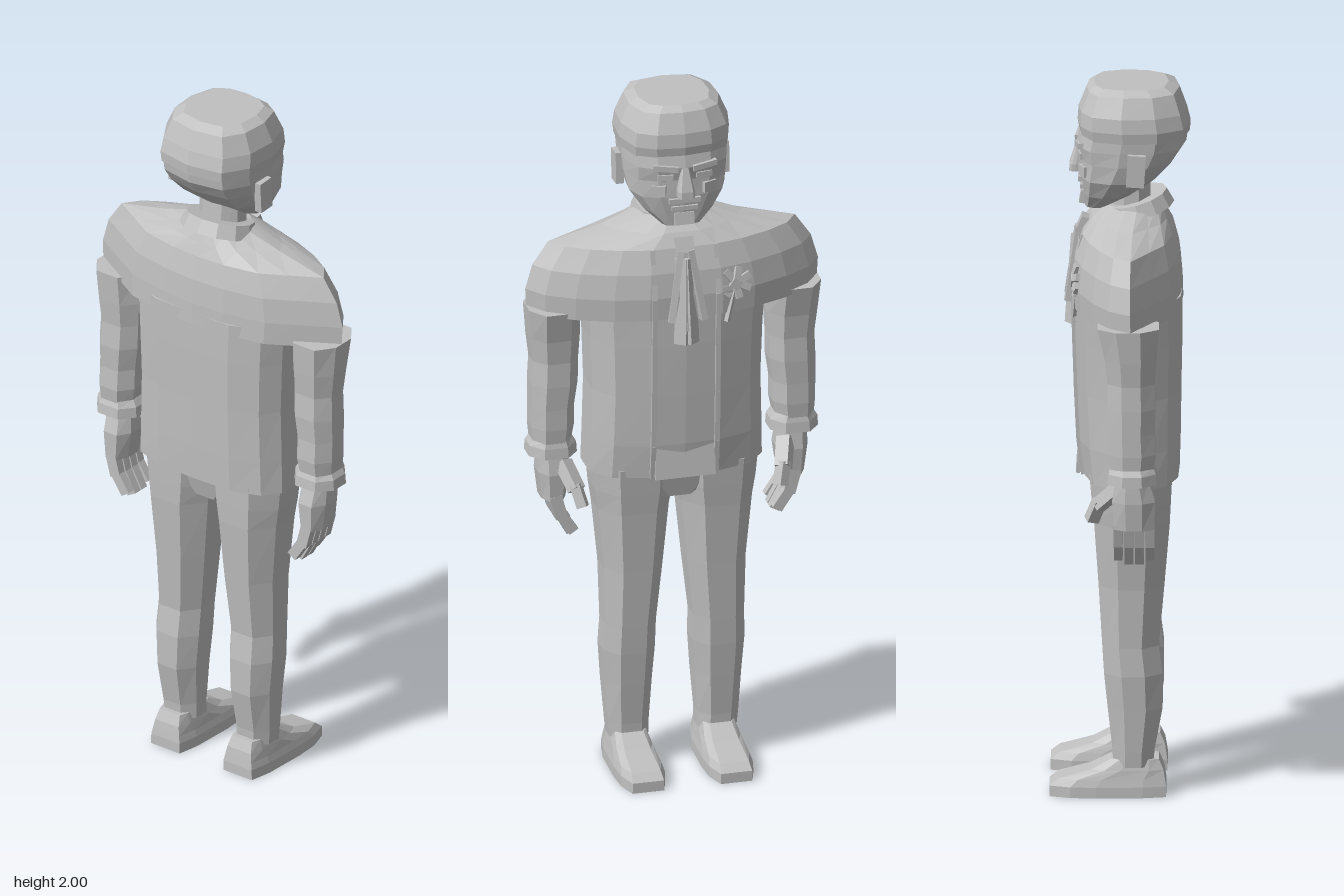
import * as THREE from 'three';

const clothGrey = new THREE.MeshStandardMaterial({ color: 0xc0c0c0, flatShading: true });
clothGrey.name = 'plainGrey';

// Half outlines seen from above: [share of half width, share of depth], back to front
const TORSO = [[0, 0], [0.5, 0.01], [0.85, 0.12], [1, 0.3], [1, 0.65], [0.8, 0.88], [0.4, 0.98], [0, 1]];
const YOKE = [[0, 0], [0.25, 0.02], [0.55, 0.1], [0.75, 0.26], [1, 0.46], [0.9, 0.65], [0.72, 0.8], [0.48, 0.93], [0.25, 1], [0, 1]];
const HEAD = [[0, 0], [0.68, 0.06], [0.96, 0.29], [1, 0.6], [0.84, 0.87], [0.5, 0.97], [0, 1]];
const LIMB = [[0, 0], [0.5, 0], [1, 0.3], [1, 0.7], [0.5, 1], [0, 1]];
const SHOE = [[0, 0], [0.75, 0], [0.93, 0.2], [1, 0.6], [0.95, 0.82], [0.68, 1], [0, 1]];

// Closed loft, bottom to top; each row is [y, halfWidth, zBack, zFront, centreX]
function loft(outline, rows, side = 1) {
  const rings = rows.map(([y, hx, zb, zf, cx = 0]) => {
    const at = (f, t) => [cx * side + f * hx, y, zb + t * (zf - zb)];
    const right = outline.map(([f, t]) => at(f, t));
    const left = outline.slice(1, -1).reverse().map(([f, t]) => at(-f, t));
    return [...right, ...left];
  });
  const n = rings[0].length, pos = [];
  const tri = (a, b, c) => pos.push(...a, ...b, ...c);
  const middle = (r) => [0, 1, 2].map((k) => r.reduce((s, p) => s + p[k], 0) / n);
  const low = rings[0], high = rings[rings.length - 1];
  for (let j = 0; j < n; j++) {
    const k = (j + 1) % n;
    for (let i = 0; i < rings.length - 1; i++) {
      tri(rings[i][j], rings[i][k], rings[i + 1][k]);
      tri(rings[i][j], rings[i + 1][k], rings[i + 1][j]);
    }
    tri(middle(low), low[k], low[j]);
    tri(middle(high), high[j], high[k]);
  }
  const g = new THREE.BufferGeometry();
  g.setAttribute('position', new THREE.Float32BufferAttribute(pos, 3));
  g.computeVertexNormals();
  return g;
}

function add(parent, name, geometry, position = [0, 0, 0], rotation = [0, 0, 0]) {
  const mesh = new THREE.Mesh(geometry, clothGrey);
  mesh.name = name;
  mesh.position.set(...position);
  mesh.rotation.set(...rotation);
  parent.add(mesh);
  return mesh;
}

const box = (w, h, d) => new THREE.BoxGeometry(w, h, d);

// Box bar running from p to q
function bar(parent, name, p, q, w, d) {
  const a = new THREE.Vector3(...p), b = new THREE.Vector3(...q);
  const dir = b.clone().sub(a);
  const mesh = add(parent, name, box(w, dir.length(), d));
  mesh.position.copy(a).add(b).multiplyScalar(0.5);
  mesh.quaternion.setFromUnitVectors(new THREE.Vector3(0, 1, 0), dir.normalize());
}

function addHead(parent) {
  const head = new THREE.Group();
  head.name = 'head';
  parent.add(head);
  add(head, 'face', loft(HEAD, [
    [1.65, 0.055, -0.04, -0.1], [1.69, 0.1, 0.03, -0.105], [1.74, 0.135, 0.1, -0.112],
    [1.79, 0.145, 0.15, -0.112], [1.83, 0.148, 0.178, -0.122], [1.88, 0.15, 0.185, -0.112]]));
  add(head, 'hairCap', loft(HEAD, [
    [1.86, 0.152, 0.188, -0.114], [1.89, 0.156, 0.19, -0.12], [1.93, 0.151, 0.18, -0.117],
    [1.985, 0.127, 0.16, -0.095], [2.0, 0.1, 0.13, -0.075]]));
  add(head, 'neck', loft(LIMB, [[1.58, 0.068, 0.085, -0.025], [1.77, 0.064, 0.075, -0.02]]));
  // Facial features on the -z side
  add(head, 'nose', loft(SHOE, [[1.745, 0.024, -0.1, -0.143], [1.765, 0.024, -0.1, -0.142], [1.83, 0.011, -0.1, -0.122]]));
  add(head, 'mouth', box(0.075, 0.012, 0.02), [0, 1.706, -0.103]);
  add(head, 'moustache', box(0.09, 0.014, 0.022), [0, 1.73, -0.107]);
  add(head, 'chin', box(0.055, 0.035, 0.025), [0, 1.672, -0.1], [0.2, 0, 0]);
  for (const s of [1, -1]) {
    add(head, 'ear', box(0.022, 0.09, 0.05), [s * 0.15, 1.785, 0.042], [0.06, 0, 0]);
    add(head, 'brow', box(0.07, 0.016, 0.02), [s * 0.055, 1.832, -0.113], [0, s * -0.15, s * 0.12]);
    add(head, 'eye', box(0.045, 0.016, 0.009), [s * 0.055, 1.803, -0.111], [0, s * -0.15, 0]);
    add(head, 'cheek', box(0.04, 0.03, 0.02), [s * 0.07, 1.762, -0.1], [0, s * -0.4, 0]);
  }
}

function addTorso(parent) {
  add(parent, 'jacketBody', loft(TORSO, [
    [0.9, 0.245, 0.16, -0.105], [1.0, 0.242, 0.163, -0.118], [1.15, 0.238, 0.165, -0.125],
    [1.3, 0.243, 0.168, -0.13], [1.42, 0.25, 0.168, -0.132]]));
  add(parent, 'shoulders', loft(YOKE, [
    [1.385, 0.412, 0.17, -0.131], [1.45, 0.415, 0.168, -0.134], [1.52, 0.395, 0.162, -0.126],
    [1.585, 0.35, 0.145, -0.105], [1.62, 0.2, 0.13, -0.08], [1.655, 0.1, 0.115, -0.04]]));
  const collar = new THREE.CylinderGeometry(0.1, 0.112, 0.04, 12);
  collar.scale(1, 1, 0.88);
  add(parent, 'collar', collar, [0, 1.65, 0.045], [-0.27, 0, 0]);
  // Jacket front edges and waist panel
  const edge = [[0.9, -0.104], [1.0, -0.117], [1.15, -0.124], [1.3, -0.129], [1.45, -0.133], [1.585, -0.104]];
  for (const s of [1, -1]) {
    for (let i = 0; i < edge.length - 1; i++) {
      const [[y0, z0], [y1, z1]] = [edge[i], edge[i + 1]];
      bar(parent, 'jacketEdge', [s * 0.09, y0, z0], [s * 0.09, y1, z1], 0.014, 0.01);
    }
  }
  add(parent, 'waistPanel', box(0.17, 0.09, 0.012), [0, 0.945, -0.112], [0.13, 0, 0]);
}

// Layered neck cloth and a small flower beside it
function addChestDetails(parent) {
  add(parent, 'neckClothKnot', box(0.05, 0.045, 0.035), [0, 1.59, -0.1], [0.4, 0, 0]);
  for (const s of [1, -1]) {
    bar(parent, 'neckClothFold', [s * 0.012, 1.58, -0.11], [s * 0.045, 1.38, -0.138], 0.035, 0.018);
    bar(parent, 'neckClothTail', [s * 0.01, 1.56, -0.12], [s * 0.016, 1.31, -0.137], 0.036, 0.018);
  }
  bar(parent, 'neckClothCentre', [0, 1.58, -0.115], [0, 1.35, -0.143], 0.02, 0.012);
  for (let i = 0; i < 7; i++) {
    const a = (i / 7) * Math.PI * 2;
    add(parent, 'petal', box(0.034, 0.02, 0.016),
      [-0.14 + 0.03 * Math.cos(a), 1.47 + 0.03 * Math.sin(a), -0.121], [0.3, 0.25, a]);
  }
  add(parent, 'flowerCentre', box(0.028, 0.028, 0.025), [-0.14, 1.47, -0.123], [0, 0, 0.6]);
  bar(parent, 'flowerStem', [-0.14, 1.46, -0.121], [-0.115, 1.36, -0.13], 0.012, 0.012);
}

function addArm(parent, s) {
  const arm = new THREE.Group();
  arm.name = s > 0 ? 'leftArm' : 'rightArm';
  parent.add(arm);
  add(arm, 'sleeve', loft(LIMB, [
    [0.98, 0.052, 0.092, -0.025, 0.345], [1.04, 0.06, 0.1, -0.03, 0.342], [1.1, 0.06, 0.096, -0.03, 0.342],
    [1.17, 0.065, 0.1, -0.033, 0.337], [1.24, 0.064, 0.096, -0.032, 0.335], [1.31, 0.07, 0.102, -0.04, 0.337],
    [1.4, 0.073, 0.108, -0.06, 0.341]], s));
  add(arm, 'cuff', loft(LIMB, [[0.955, 0.068, 0.103, -0.033, 0.342], [0.985, 0.066, 0.1, -0.03, 0.342],
    [1.005, 0.054, 0.092, -0.025, 0.342]], s));
  add(arm, 'palm', loft(LIMB, [[0.82, 0.034, 0.095, -0.015, 0.338], [0.9, 0.045, 0.098, -0.02, 0.337],
    [0.96, 0.04, 0.08, -0.01, 0.34]], s));
  // Four curled fingers and a thumb
  for (let i = 0; i < 4; i++) {
    const z = 0.083 - i * 0.029, drop = [0.012, 0, 0, 0.012][i];
    bar(arm, 'fingerBase', [s * 0.34, 0.835, z], [s * 0.322, 0.768, z], 0.034, 0.025);
    bar(arm, 'fingerTip', [s * 0.324, 0.778, z], [s * 0.288, 0.712 + drop, z], 0.03, 0.024);
  }
  bar(arm, 'thumbBase', [s * 0.315, 0.93, 0.0], [s * 0.293, 0.87, -0.06], 0.04, 0.034);
  bar(arm, 'thumbTip', [s * 0.295, 0.885, -0.055], [s * 0.28, 0.825, -0.078], 0.034, 0.028);
}

function addLeg(parent, s) {
  const leg = new THREE.Group();
  leg.name = s > 0 ? 'leftLeg' : 'rightLeg';
  parent.add(leg);
  add(leg, 'trouserLeg', loft(LIMB, [
    [0.085, 0.056, 0.09, -0.02, 0.125], [0.13, 0.058, 0.093, -0.022, 0.127], [0.25, 0.066, 0.115, -0.035, 0.127],
    [0.35, 0.073, 0.115, -0.045, 0.127], [0.43, 0.072, 0.105, -0.05, 0.125], [0.6, 0.083, 0.12, -0.06, 0.118],
    [0.78, 0.1, 0.135, -0.072, 0.118], [0.84, 0.11, 0.138, -0.078, 0.117], [0.92, 0.117, 0.14, -0.085, 0.117]], s));
  add(leg, 'shoe', loft(SHOE, [
    [0, 0.066, 0.125, -0.195, 0.125], [0.03, 0.065, 0.125, -0.195, 0.125], [0.05, 0.06, 0.122, -0.17, 0.125],
    [0.075, 0.054, 0.118, -0.08, 0.125], [0.105, 0.046, 0.105, -0.025, 0.125]], s));
}

export function createModel() {
  const model = new THREE.Group();
  model.name = 'standingMan';
  addHead(model);
  addTorso(model);
  addChestDetails(model);
  add(model, 'seat', loft(LIMB, [[0.82, 0.06, 0.11, -0.06], [0.92, 0.2, 0.138, -0.083]]));
  for (const s of [1, -1]) {
    addArm(model, s);
    addLeg(model, s);
  }
  return model;
}
